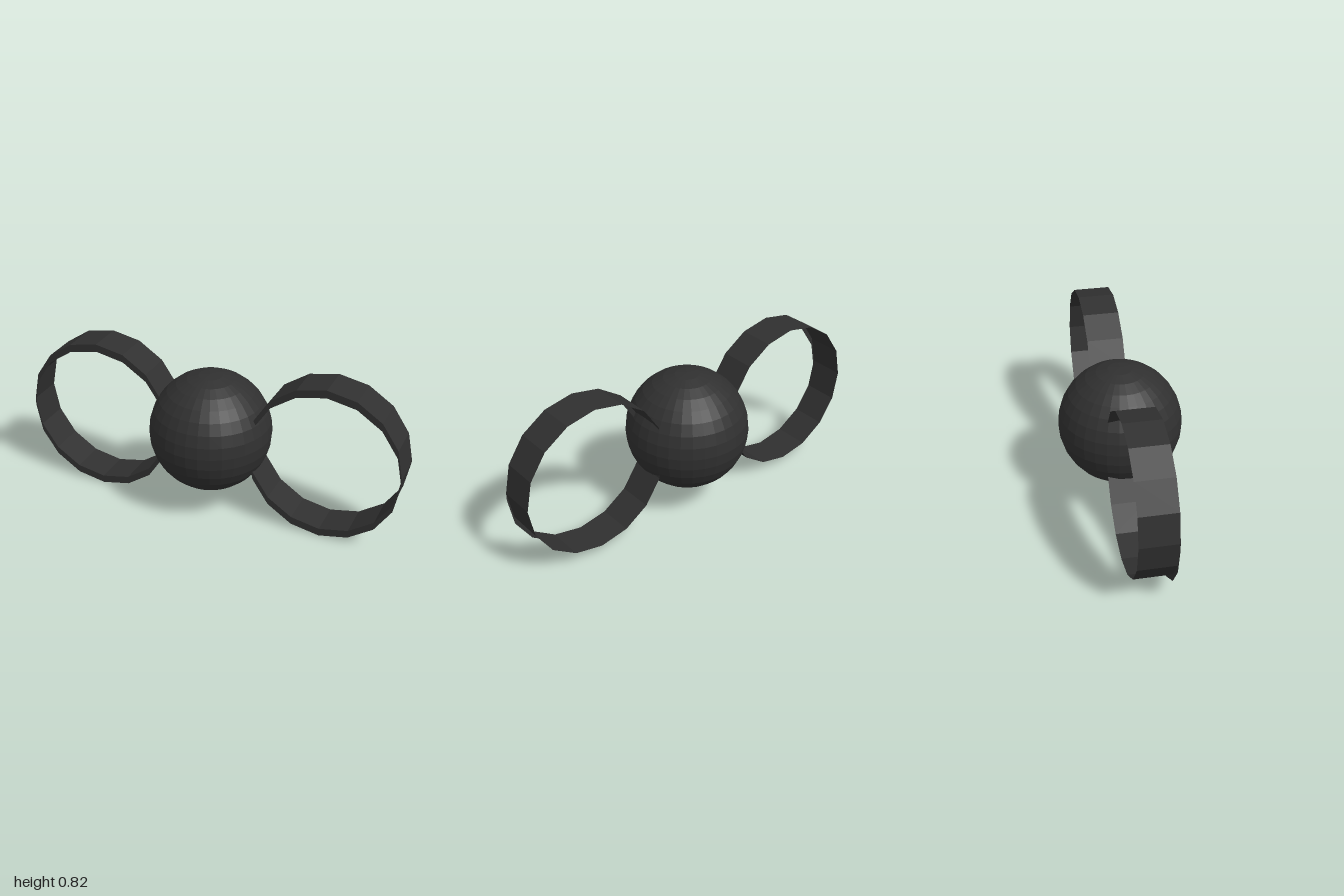
import * as THREE from 'three';

const SIDES = 16, RADIUS = 0.39, CENTER_Y = 0.438;
const FRONT_Z = 0.08, BACK_Z = -0.106, LIP_DROP = 0.04;

// Sheet joining two closed loops of points
function loft(loopA, loopB) {
  const index = [], n = loopA.length;
  for (let i = 0; i < n; i++) {
    const j = (i + 1) % n;
    index.push(i, n + i, j, j, n + i, n + j);
  }
  const geometry = new THREE.BufferGeometry().setFromPoints([...loopA, ...loopB]);
  geometry.setIndex(index);
  geometry.computeVertexNormals();
  return geometry;
}

function hoop(y, z) {
  return Array.from({ length: SIDES }, (_, i) => {
    const a = (i / SIDES) * Math.PI * 2;
    return new THREE.Vector3(Math.cos(a) * RADIUS, y + Math.sin(a) * RADIUS, z);
  });
}

export function createModel() {
  const model = new THREE.Group();
  const color = 0x303030;
  const solid = new THREE.MeshStandardMaterial({ color, flatShading: true });
  const sheet = new THREE.MeshStandardMaterial({ color, flatShading: true, side: THREE.DoubleSide });

  // Central ball
  const ball = new THREE.Mesh(new THREE.SphereGeometry(0.312, 32, 16), solid);
  ball.name = 'ball';
  ball.position.set(-0.013, CENTER_Y, 0);
  model.add(ball);

  // Thin hoops, each with a flat front lip offset downward
  const front = hoop(CENTER_Y, FRONT_Z);
  const bandGeometry = loft(front, hoop(CENTER_Y, BACK_Z));
  const lipGeometry = loft(front, hoop(CENTER_Y - LIP_DROP, FRONT_Z));
  for (const [name, side] of [['leftHoop', 1], ['rightHoop', -1]]) {
    const group = new THREE.Group();
    group.name = name;
    group.position.x = side * (1 - RADIUS);
    const band = new THREE.Mesh(bandGeometry, sheet);
    band.name = 'band';
    const lip = new THREE.Mesh(lipGeometry, sheet);
    lip.name = 'frontLip';
    group.add(band, lip);
    model.add(group);
  }
  return model;
}
